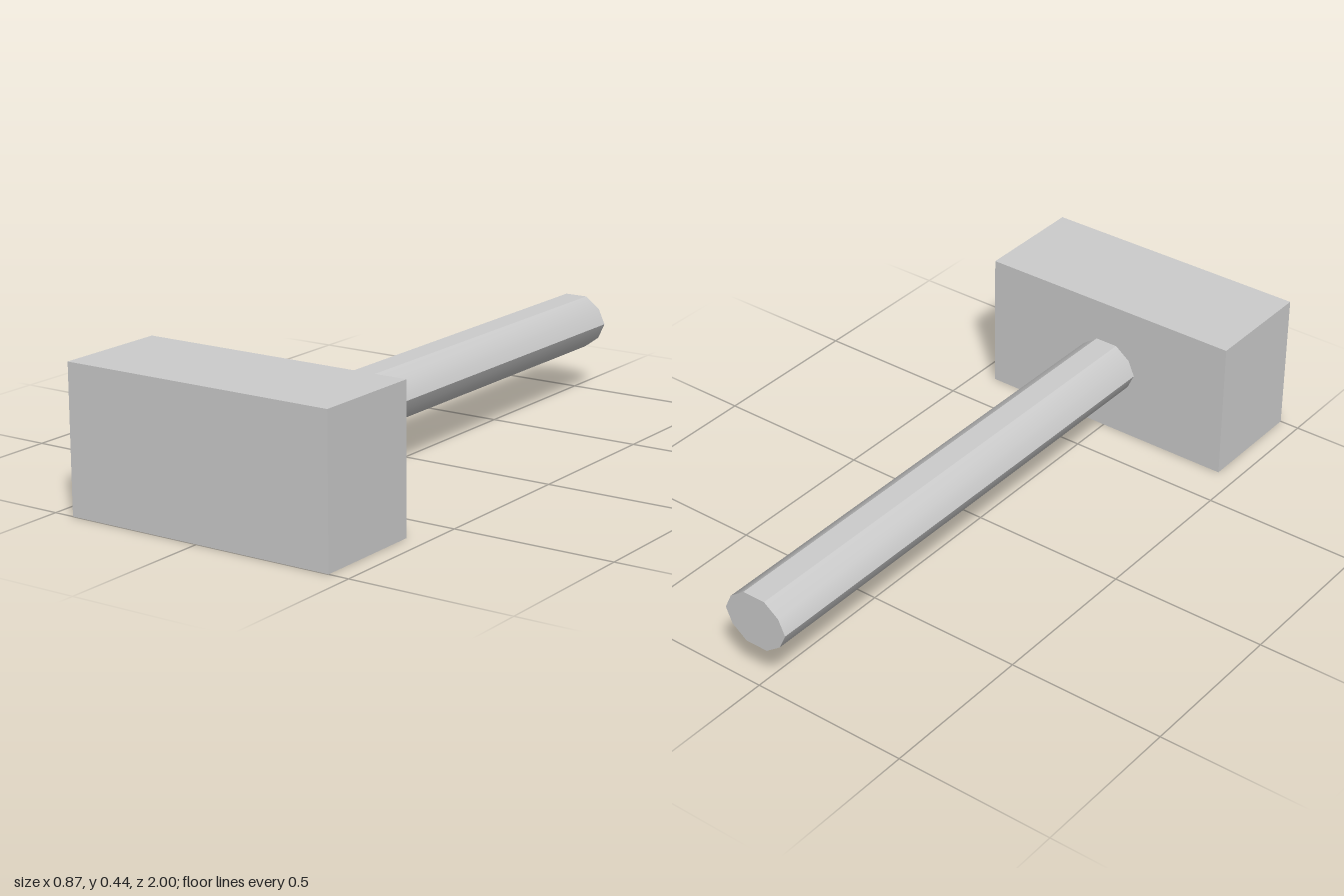
import * as THREE from 'three';
import { toCreasedNormals } from 'three/addons/utils/BufferGeometryUtils.js';

const WIDTH = 0.873, HEIGHT = 0.444, HEAD_BACK = 0.64;

export function createModel() {
  const group = new THREE.Group();
  const material = new THREE.MeshStandardMaterial({ color: 0xcccccc });

  // Block-shaped head
  const head = new THREE.Mesh(new THREE.BoxGeometry(WIDTH, HEIGHT, 1 - HEAD_BACK), material);
  head.name = 'head';
  head.position.set(0, HEIGHT / 2, (1 + HEAD_BACK) / 2);
  group.add(head);

  // Ten-sided flattened handle: one quarter of the outline, mirrored, counter-clockwise
  const quarter = [[0.108, 0], [0.086, 0.048], [0.037, 0.084]];
  const upper = [...quarter, ...quarter.slice(1).reverse().map(([x, y]) => [-x, y])];
  const outline = [...upper, ...upper.map(([x, y]) => [-x, -y])];
  const shape = new THREE.Shape(outline.map(([x, y]) => new THREE.Vector2(x, y)));
  const geometry = new THREE.ExtrudeGeometry(shape, { depth: 1 + HEAD_BACK, bevelEnabled: false });

  // The side ridges stay soft, the other edges sharp
  const handle = new THREE.Mesh(toCreasedNormals(geometry, THREE.MathUtils.degToRad(32)), material);
  handle.name = 'handle';
  handle.position.set(0, HEIGHT / 2 + 0.002, -1);
  group.add(handle);

  return group;
}
